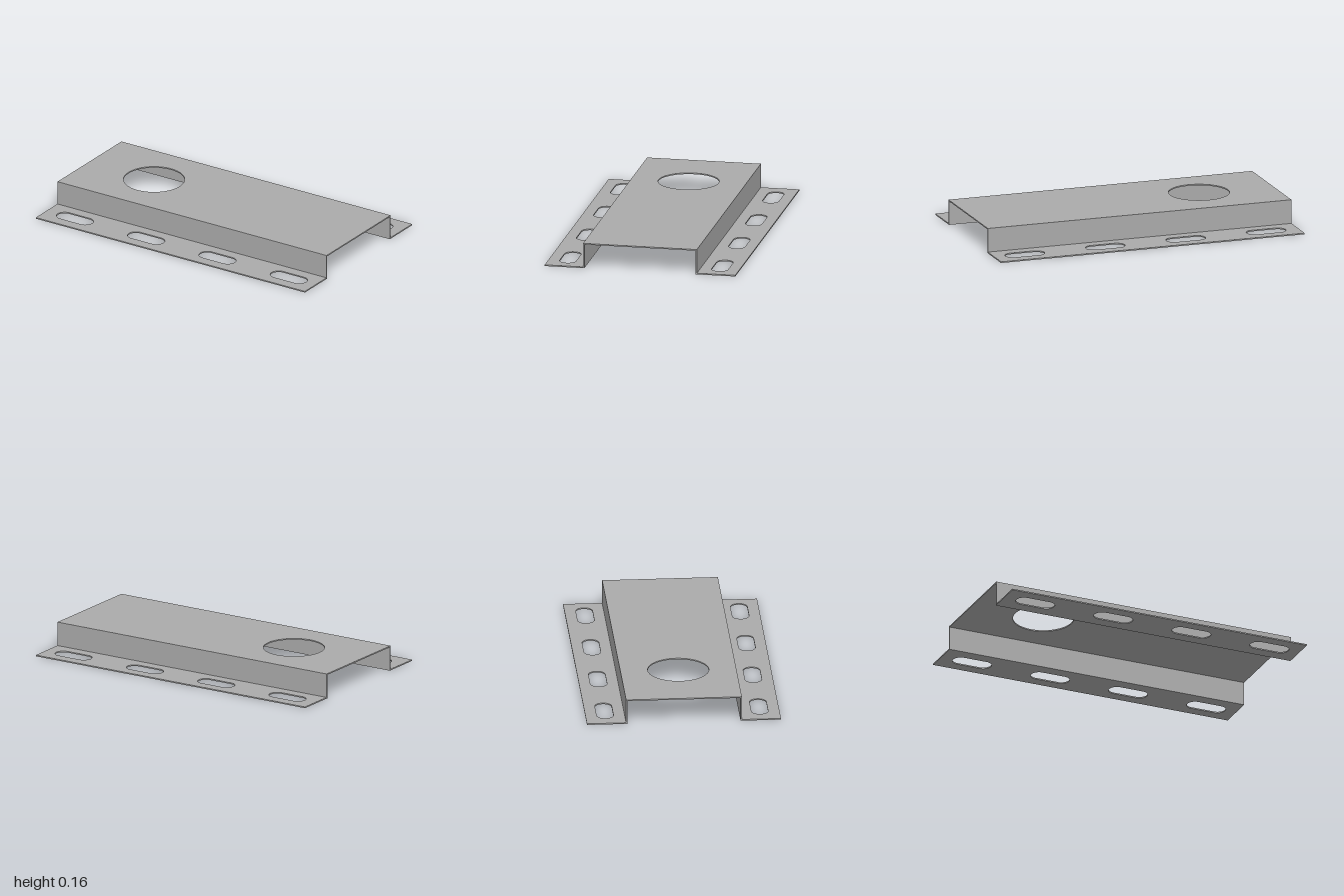
import * as THREE from 'three';

const T = 0.008;      // sheet thickness
const H = 0.16;       // overall height
const CROWN = 0.36;   // half width of the raised crown
const EDGE = 0.603;   // half width across the flanges

// Flat sheet spanning x -1..1 and z0..z1, with its upper face at y = top
function sheet(name, z0, z1, top, holes, material) {
  const shape = new THREE.Shape();
  shape.moveTo(-1, z0).lineTo(1, z0).lineTo(1, z1).lineTo(-1, z1).closePath();
  shape.holes.push(...holes);
  const geometry = new THREE.ExtrudeGeometry(shape, { depth: T, bevelEnabled: false, curveSegments: 32 });
  geometry.rotateX(Math.PI / 2).translate(0, top, 0);
  const mesh = new THREE.Mesh(geometry, material);
  mesh.name = name;
  return mesh;
}

// Round-ended slot lying along x
function slot(x, z) {
  const r = 0.052, half = 0.076;
  const path = new THREE.Path();
  path.absarc(x + half, z, r, -Math.PI / 2, Math.PI / 2, false);
  path.absarc(x - half, z, r, Math.PI / 2, Math.PI * 1.5, false);
  path.closePath();
  return path;
}

export function createModel() {
  const group = new THREE.Group();
  group.name = 'mountingBracket';
  const steel = new THREE.MeshStandardMaterial({ color: 0xaaaaaa });
  steel.name = 'grey steel';

  // Raised crown with the large off-centre hole
  const bore = new THREE.Path().absarc(-0.52, 0, 0.19, 0, Math.PI * 2, false);
  group.add(sheet('crownPlate', -CROWN, CROWN, H, [bore], steel));

  for (const [side, s] of [['front', 1], ['back', -1]]) {
    // Upright web
    const web = new THREE.Mesh(new THREE.BoxGeometry(2, H - T, T), steel);
    web.name = side + 'Web';
    web.position.set(0, (H - T) / 2, s * (CROWN - T / 2));
    group.add(web);

    // Slotted flange
    const slots = [-0.79, -0.26, 0.27, 0.8].map((x) => slot(x, s * 0.481));
    const z0 = Math.min(s * CROWN, s * EDGE), z1 = Math.max(s * CROWN, s * EDGE);
    group.add(sheet(side + 'Flange', z0, z1, T, slots, steel));
  }
  return group;
}
